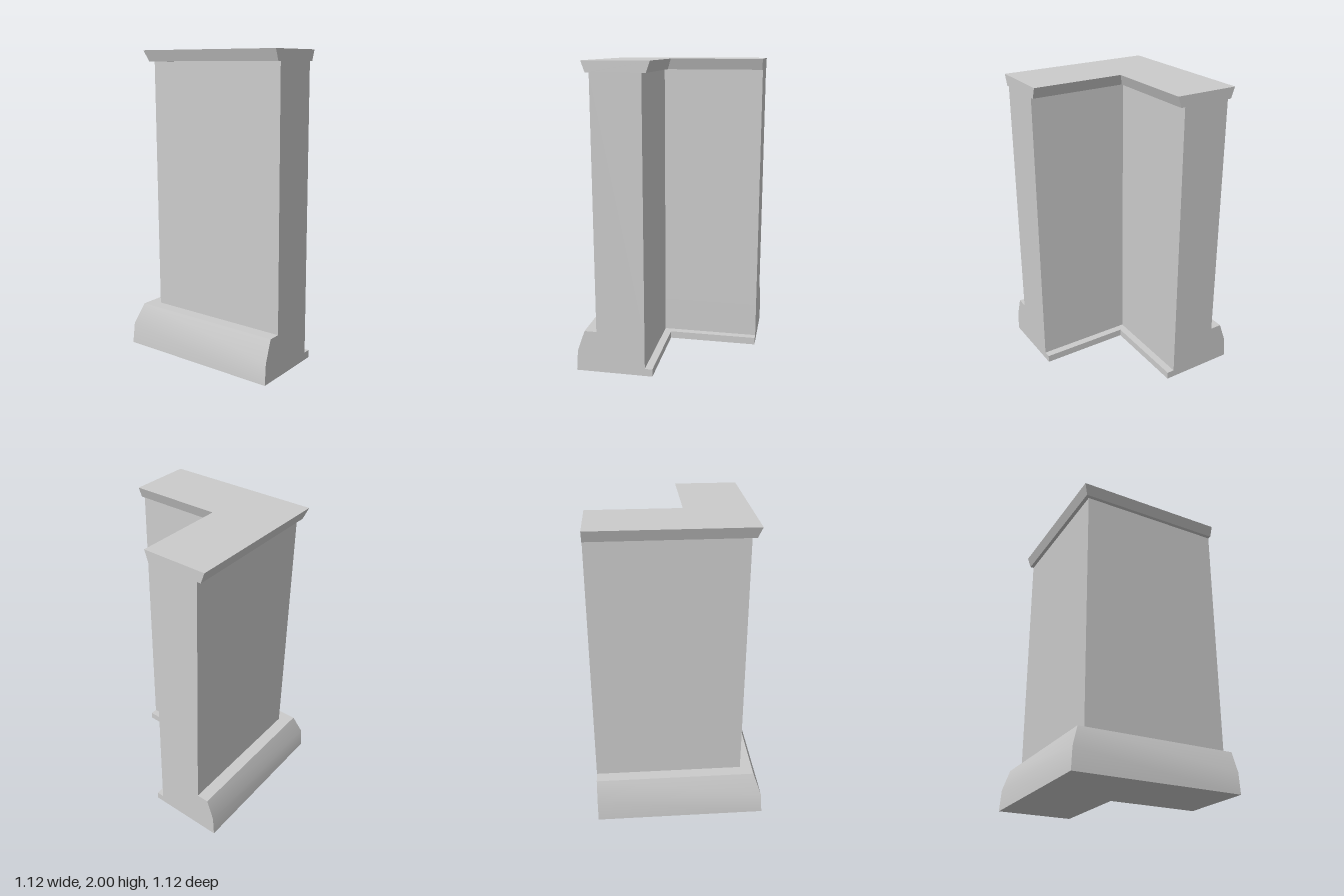
import * as THREE from 'three';
import { mergeGeometries, toCreasedNormals } from 'three/addons/utils/BufferGeometryUtils.js';

const END = 0.56; // where both arms of the L are cut off

// Flat end of an arm, facing +z
function endFace(points) {
  const shape = new THREE.Shape(points.map(([d, y]) => new THREE.Vector2(d, y)));
  const geometry = new THREE.ShapeGeometry(shape).toNonIndexed();
  geometry.deleteAttribute('uv');
  geometry.deleteAttribute('normal');
  return geometry;
}

// Sweeps a wall section round the mitred corner. Profiles are [offset, height], bottom to top.
function cornerPart(name, outer, inner, hasBottom, hasTop) {
  const ring = [...outer, ...[...inner].reverse()];
  const positions = [];
  ring.forEach((p, i) => {
    if (i === outer.length - 1 && !hasTop) return;
    if (i === ring.length - 1 && !hasBottom) return;
    const q = ring[(i + 1) % ring.length];
    const stations = ([d, y]) => [[d, y, END], [d, y, d], [END, y, d]];
    const a = stations(p), b = stations(q);
    for (let k = 0; k < 2; k++) {
      positions.push(...a[k], ...b[k], ...b[k + 1], ...a[k], ...b[k + 1], ...a[k + 1]);
    }
  });
  const sweep = new THREE.BufferGeometry();
  sweep.setAttribute('position', new THREE.Float32BufferAttribute(positions, 3));

  const frontEnd = endFace(ring).translate(0, 0, END);
  const sideEnd = endFace(ring.map(([d, y]) => [-d, y])).rotateY(Math.PI / 2).translate(END, 0, 0);
  const geometry = toCreasedNormals(mergeGeometries([sweep, frontEnd, sideEnd]), 0.5);
  const mesh = new THREE.Mesh(geometry, new THREE.MeshStandardMaterial({ color: 0xcccccc }));
  mesh.name = name;
  return mesh;
}

export function createModel() {
  const group = new THREE.Group();
  group.name = 'cornerWall';
  group.add(
    // Skirting with rounded outer face and a low inner step
    cornerPart('base',
      [[-0.56, 0], [-0.55, 0.14], [-0.5, 0.28], [-0.42, 0.28]],
      [[-0.05, 0], [-0.05, 0.05], [-0.1, 0.05], [-0.1, 0.28]], true, false),
    // Plain wall
    cornerPart('wall',
      [[-0.42, 0.28], [-0.42, 1.93]],
      [[-0.1, 0.28], [-0.1, 1.93]], false, false),
    // Flared coping with a small ledge beneath
    cornerPart('coping',
      [[-0.42, 1.93], [-0.445, 1.93], [-0.47, 2]],
      [[-0.1, 1.93], [-0.073, 1.93], [-0.048, 2]], false, true),
  );
  return group;
}
